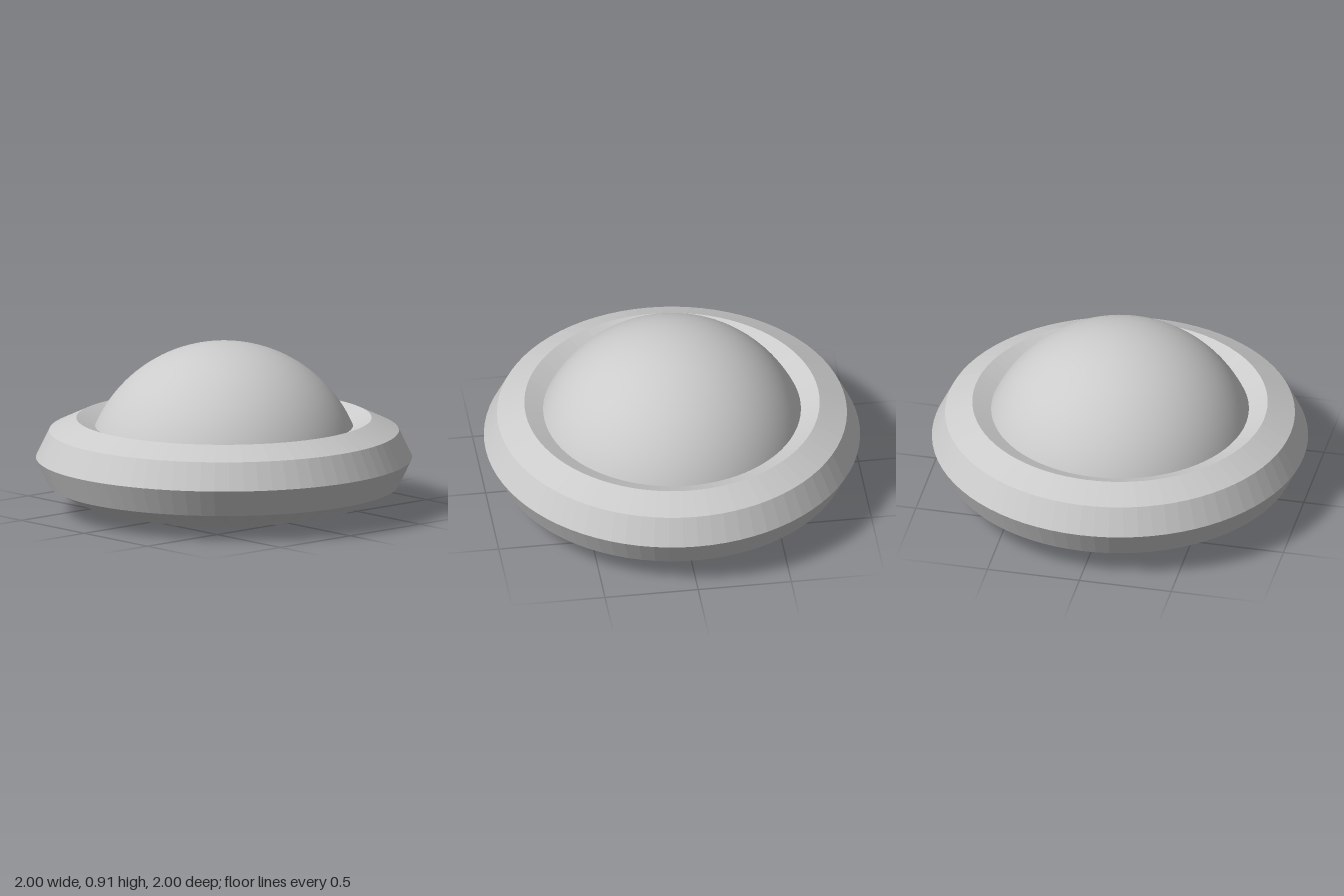
import * as THREE from 'three';

const SEGMENTS = 80;

function makeMaterial(flat) {
  return new THREE.MeshStandardMaterial({ color: 0xcccccc, flatShading: flat, side: THREE.DoubleSide });
}

function lathe(points) {
  return new THREE.LatheGeometry(points.map(([r, y]) => new THREE.Vector2(r, y)), SEGMENTS);
}

export function createModel() {
  const group = new THREE.Group();
  const add = (name, geometry, flat) => {
    const mesh = new THREE.Mesh(geometry, makeMaterial(flat));
    mesh.name = name;
    group.add(mesh);
    return mesh;
  };

  // Rim: the exposed sides of an octagonal ring
  add('rim', lathe([
    [0.93, 0.142], [1, 0.287], [0.93, 0.432], [0.785, 0.5], [0.637, 0.436], [0.575, 0.287],
  ]), true);

  // Dome: upper cap of a sphere, its edge hidden inside the rim
  const dome = add('dome', new THREE.SphereGeometry(0.748, 80, 32, 0, Math.PI * 2, 0, 1.4), false);
  dome.position.y = 0.157;

  // Underside: shallow bowl with fine radial pleats around a flat centre
  const profile = [[0, 0], [0.4, 0.004], [0.73, 0.047], [0.93, 0.142]];
  const pleat = [0, 0, 0.006, 0];
  const hull = lathe(profile);
  const pos = hull.attributes.position;
  for (let i = 0; i < pos.count; i++) {
    const spoke = Math.floor(i / profile.length);
    const side = spoke % 2 ? 1 : -1;
    pos.setY(i, pos.getY(i) + side * pleat[i % profile.length]);
  }
  hull.computeVertexNormals();
  add('underside', hull, true);

  return group;
}
